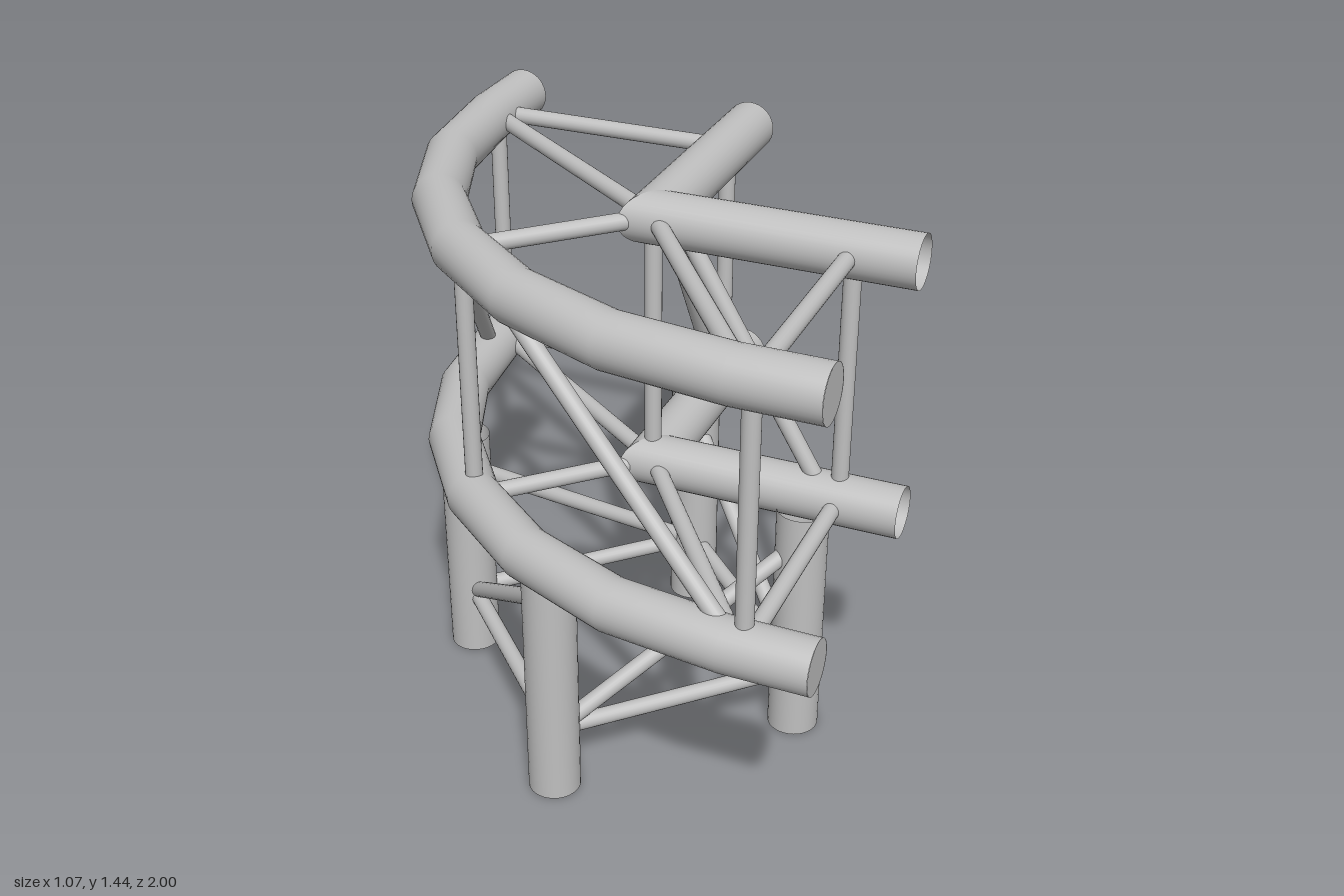
import * as THREE from 'three';

const LOW = 0.695, HIGH = 1.37; // heights of the two chord levels
const R = 0.067, THIN = 0.022; // pipe and brace radii
const SIDES = 32;

const steel = new THREE.MeshStandardMaterial({ color: 0xbfbfbf });
steel.name = 'steel grey';
steel.side = THREE.DoubleSide;

// Straight round bar between two points
function bar(name, a, b, radius = THIN, open = false) {
  const from = new THREE.Vector3(...a), to = new THREE.Vector3(...b);
  const dir = to.clone().sub(from);
  const geo = new THREE.CylinderGeometry(radius, radius, dir.length(), radius > 0.05 ? SIDES : 20, 1, open);
  const mesh = new THREE.Mesh(geo, steel);
  mesh.name = name;
  mesh.position.copy(from).add(to).multiplyScalar(0.5);
  mesh.quaternion.setFromUnitVectors(new THREE.Vector3(0, 1, 0), dir.normalize());
  return mesh;
}

// Horizontal pipe along [x, z] points with mitred joints
function pipe(name, path, y, smooth) {
  const pts = path.map(p => new THREE.Vector2(...p));
  const segSide = [];
  for (let i = 0; i + 1 < pts.length; i++) {
    const d = pts[i + 1].clone().sub(pts[i]).normalize();
    segSide.push(new THREE.Vector2(-d.y, d.x));
  }
  const pos = [], nor = [], idx = [];
  segSide.forEach((own, i) => {
    const base = pos.length / 3;
    for (const j of [i, i + 1]) {
      const s = segSide[Math.max(0, j - 1)].clone().add(segSide[Math.min(j, segSide.length - 1)]).normalize();
      const stretch = R / s.dot(own);
      const n = smooth ? s : own;
      for (let k = 0; k <= SIDES; k++) {
        const a = k / SIDES * Math.PI * 2, c = Math.cos(a), h = Math.sin(a);
        pos.push(pts[j].x + s.x * c * stretch, y + h * R, pts[j].y + s.y * c * stretch);
        nor.push(n.x * c, h, n.y * c);
      }
    }
    for (let k = 0; k < SIDES; k++) {
      const a = base + k, b = a + SIDES + 1;
      idx.push(a, a + 1, b, a + 1, b + 1, b);
    }
  });
  const geo = new THREE.BufferGeometry();
  geo.setAttribute('position', new THREE.Float32BufferAttribute(pos, 3));
  geo.setAttribute('normal', new THREE.Float32BufferAttribute(nor, 3));
  // Make the winding agree with the outward normals
  const v = i => new THREE.Vector3(pos[3 * i], pos[3 * i + 1], pos[3 * i + 2]);
  const face = v(idx[1]).sub(v(idx[0])).cross(v(idx[2]).sub(v(idx[0])));
  if (face.dot(new THREE.Vector3(nor[0], nor[1], nor[2])) < 0) idx.reverse();
  geo.setIndex(idx);
  const mesh = new THREE.Mesh(geo, steel);
  mesh.name = name;
  return mesh;
}

export function createModel() {
  const model = new THREE.Group();
  model.name = 'cornerTruss';

  // Curved chord path: quarter arc in six steps with straight ends
  const arcR = 1.135, arc = [];
  for (let i = -3; i <= 3; i++) {
    const a = i * Math.PI / 12;
    arc.push([-0.47 + arcR * (1 - Math.cos(a)), arcR * Math.sin(a)]);
  }
  arc.unshift([0.01, -0.9525]);
  arc.push([0.01, 0.9525]);

  for (const y of [LOW, HIGH]) {
    const level = new THREE.Group();
    level.name = y === LOW ? 'lowerChords' : 'upperChords';
    level.add(pipe('curvedChord', arc, y, true));
    level.add(pipe('angledChord', [[0.487, -0.472], [0.015, 0], [0.487, 0.472]], y, false));
    level.add(bar('middleStrut', [-0.465, y, 0], [0.015, y, 0]));
    for (const s of [-1, 1]) {
      const cap = new THREE.Mesh(new THREE.CircleGeometry(R, SIDES), steel);
      cap.name = 'chordEndCap';
      cap.position.set(0.01, y, s * 0.9525);
      cap.rotation.y = s > 0 ? Math.PI / 4 : Math.PI * 3 / 4;
      level.add(cap);
      level.add(bar('endStrut', [-0.108, y, s * 0.83], [0.37, y, s * 0.355]));
      level.add(bar('slantedStrut', [-0.115, y, s * 0.8], [0.015, y, 0]));
    }
    model.add(level);
  }

  // Uprights between the chord levels
  for (const [x, z] of [[-0.465, 0], [0.015, 0], [-0.108, 0.83], [-0.108, -0.83], [0.37, 0.355], [0.37, -0.355]]) {
    model.add(bar('upright', [x, LOW, z], [x, HIGH, z]));
  }

  // Diagonals between the chord levels
  for (const s of [-1, 1]) {
    model.add(bar('angledSideDiagonal', [0.063, HIGH, s * 0.045], [0.345, LOW, s * 0.33]));
  }
  model.add(bar('curvedSideDiagonal', [-0.46, HIGH, 0.185], [-0.12, LOW, 0.815]));
  model.add(bar('curvedSideDiagonal', [-0.46, HIGH, -0.135], [-0.175, LOW, -0.775]));

  // Legs, with a rail and a diagonal on each side
  const base = new THREE.Group();
  base.name = 'legFrame';
  const corners = [[-0.388, 0.325], [0.288, 0.325], [0.288, -0.35], [-0.388, -0.35]];
  corners.forEach(([x, z], i) => {
    const [x2, z2] = corners[(i + 1) % 4];
    base.add(bar('leg', [x, 0, z], [x, 0.67, z], R, true));
    base.add(bar('legRail', [x, 0.173, z], [x2, 0.173, z2]));
    base.add(bar('legDiagonal', [x, 0.165, z], [x2, 0.57, z2]));
  });
  model.add(base);
  return model;
}
